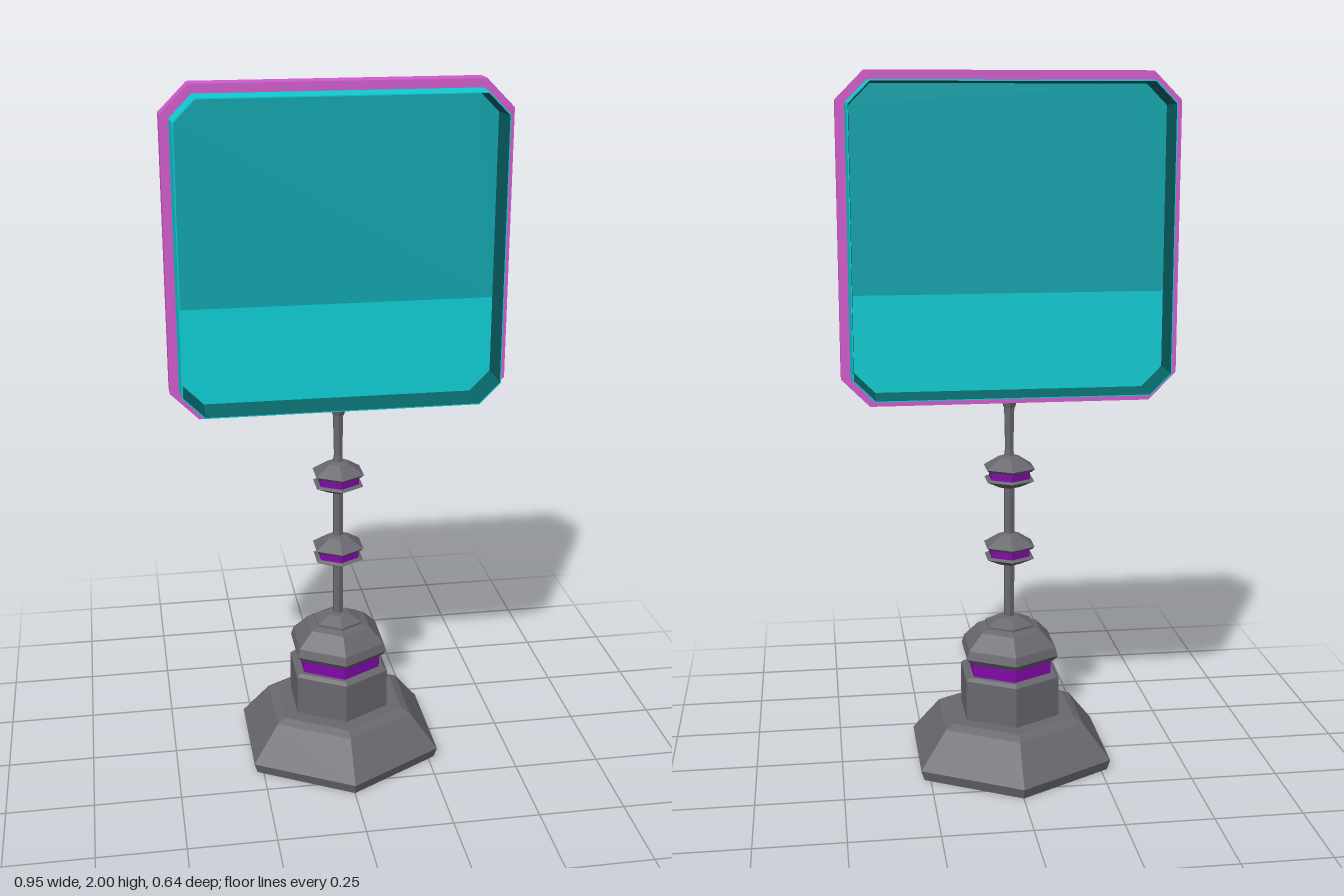
import * as THREE from 'three';

const paint = (name, color, extra = {}) => {
  const m = new THREE.MeshStandardMaterial({ color, flatShading: true, ...extra });
  m.name = name;
  return m;
};

// Octagon (rectangle with cut corners), counter-clockwise
const octagon = (w, h, c) => [
  [w, -h + c], [w, h - c], [w - c, h], [-w + c, h],
  [-w, h - c], [-w, -h + c], [-w + c, -h], [w - c, -h],
].map(([x, y]) => new THREE.Vector2(x, y));

// Skin over a series of octagons [halfWidth, halfHeight, cut, z]
function loft(sections) {
  const pos = [];
  const rings = sections.map(([w, h, c, z]) => octagon(w, h, c).map(p => [p.x, p.y, z]));
  for (let r = 0; r + 1 < rings.length; r++) {
    const a = rings[r], b = rings[r + 1];
    for (let i = 0; i < 8; i++) {
      const j = (i + 1) % 8;
      pos.push(...a[i], ...a[j], ...b[j], ...a[i], ...b[j], ...b[i]);
    }
  }
  const g = new THREE.BufferGeometry();
  g.setAttribute('position', new THREE.Float32BufferAttribute(pos, 3));
  g.computeVertexNormals();
  return g;
}

export function createModel() {
  const model = new THREE.Group();
  model.name = 'signPost';

  const grey = paint('grey metal', 0x69686f);
  const purple = paint('purple band', 0x8209a8);
  const pink = paint('pink trim', 0xd15ccc);
  const teal = paint('bright teal', 0x0ecdd4);
  const screenTeal = paint('screen teal', 0x10a4ac);
  const darkTeal = paint('dark inner teal', 0x08666a);

  const add = (parent, name, geometry, material) => {
    const mesh = new THREE.Mesh(geometry, material);
    mesh.name = name;
    parent.add(mesh);
    return mesh;
  };
  // Six-sided turned part, profile [radius, y] from bottom to top
  const turned = (parent, name, profile, material) => add(parent, name,
    new THREE.LatheGeometry(profile.map(p => new THREE.Vector2(...p)), 6), material);

  // Pedestal
  turned(model, 'base', [[0, 0], [0.31, 0], [0.32, 0.03], [0.232, 0.133], [0.205, 0.146],
    [0.157, 0.146], [0.157, 0.265], [0.145, 0.274], [0, 0.274]], grey);
  turned(model, 'baseBand', [[0.131, 0.27], [0.131, 0.318]], purple);
  turned(model, 'baseCap', [[0, 0.314], [0.14, 0.314], [0.154, 0.33], [0.146, 0.355],
    [0.1, 0.4], [0.076, 0.408], [0.076, 0.414], [0.035, 0.434], [0, 0.438]], grey);

  // Pole and its socket under the panel
  turned(model, 'pole', [[0.016, 0.42], [0.016, 0.92], [0.013, 0.94], [0.016, 1.07]], grey);
  turned(model, 'poleSocket', [[0, 1.062], [0.018, 1.062], [0.026, 1.09], [0, 1.09]], grey);

  // Beads on the pole
  for (const y of [0.64, 0.872]) {
    const bead = new THREE.Group();
    bead.name = 'poleBead';
    bead.position.y = y;
    turned(bead, 'beadTop', [[0, 0.005], [0.07, 0.005], [0.08, 0.014], [0.034, 0.043], [0.016, 0.049]], grey);
    turned(bead, 'beadBand', [[0.064, -0.019], [0.064, 0.006]], purple);
    turned(bead, 'beadBottom', [[0.016, -0.048], [0.034, -0.043], [0.078, -0.022], [0.07, -0.017], [0, -0.017]], grey);
    model.add(bead);
  }

  // Panel
  const panel = new THREE.Group();
  panel.name = 'panel';
  panel.position.set(0, 1.54, -0.003);
  model.add(panel);

  // Pink ring around the middle
  const ring = new THREE.Shape(octagon(0.477, 0.46, 0.079));
  ring.holes.push(new THREE.Path(octagon(0.446, 0.43, 0.06)));
  const ringGeometry = new THREE.ExtrudeGeometry(ring, { depth: 0.064, bevelEnabled: false });
  ringGeometry.translate(0, 0, -0.032);
  add(panel, 'pinkRing', ringGeometry, pink);

  // Two mirrored faces, each with a shell, a recess and a two-tone screen
  const w = 0.44, h = 0.425, c = 0.058, split = -0.15;
  const upper = [[w, split], [w, h - c], [w - c, h], [-w + c, h], [-w, h - c], [-w, split]];
  const lower = [[-w, split], [-w, -h + c], [-w + c, -h], [w - c, -h], [w, -h + c], [w, split]];
  const flat = pts => new THREE.ShapeGeometry(new THREE.Shape(pts.map(p => new THREE.Vector2(...p))));
  for (const side of [0, 1]) {
    const face = new THREE.Group();
    face.name = side ? 'backFace' : 'frontFace';
    face.rotation.y = side * Math.PI;
    add(face, 'shell', loft([[0.453, 0.436, 0.062, 0], [0.447, 0.433, 0.06, 0.108],
      [0.444, 0.43, 0.059, 0.108]]), teal);
    add(face, 'recessWall', loft([[0.444, 0.43, 0.059, 0.108], [w, h, c, 0.008]]), darkTeal);
    add(face, 'screenUpper', flat(upper), screenTeal).position.z = 0.008;
    add(face, 'screenLower', flat(lower), teal).position.z = 0.008;
    panel.add(face);
  }

  return model;
}
